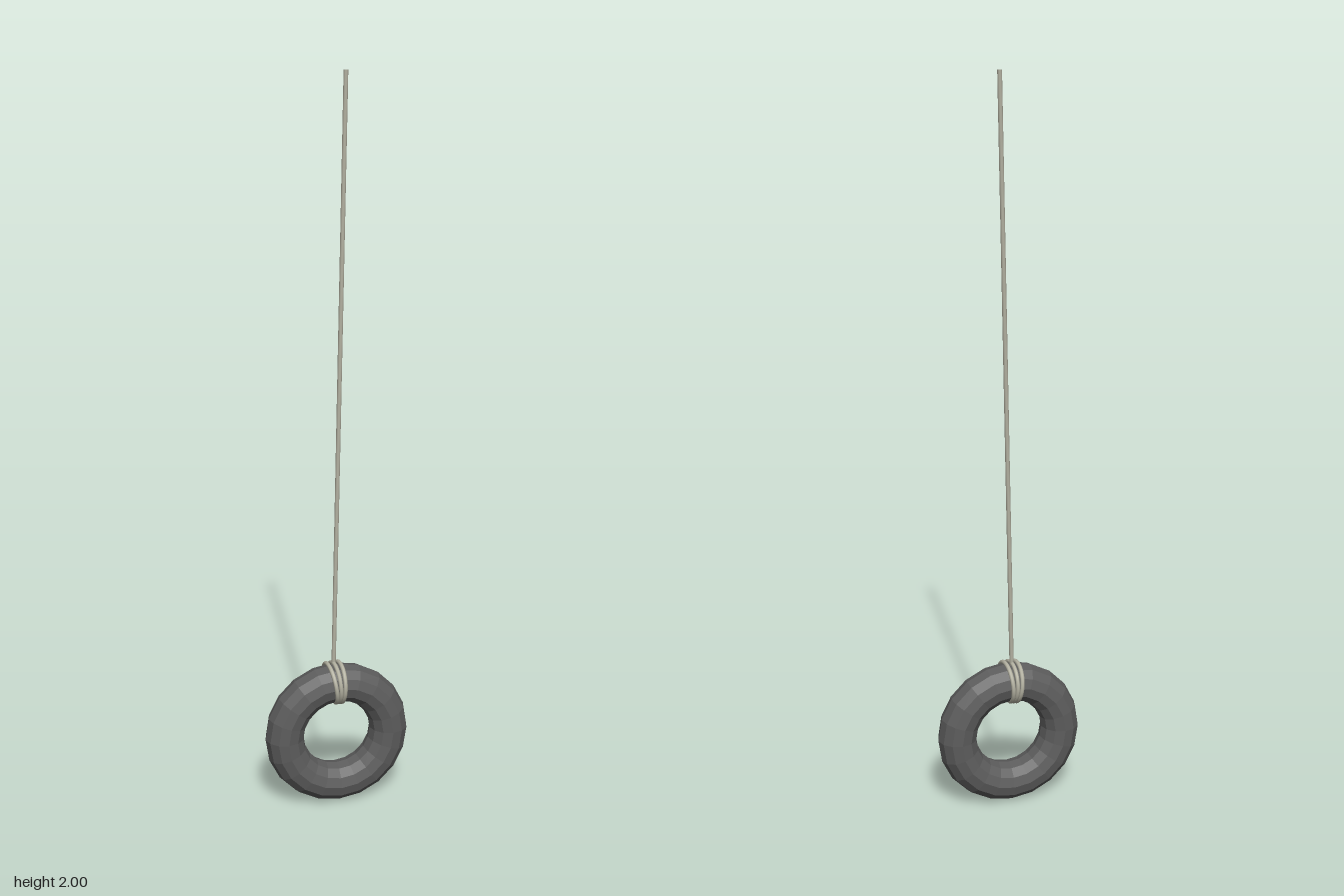
import * as THREE from 'three';

const TIRE_R = 0.15, TUBE_R = 0.054, CENTER_Y = 0.204;
const ROPE_R = 0.006, WRAP_R = 0.056;

export function createModel() {
  const model = new THREE.Group();
  model.name = 'tireSwing';
  const rubber = new THREE.MeshStandardMaterial({ color: 0x5c5c5c, flatShading: true });
  const hemp = new THREE.MeshStandardMaterial({ color: 0xb4b2a2 });

  const add = (parent, geometry, material, name) => {
    const mesh = new THREE.Mesh(geometry, material);
    mesh.name = name;
    parent.add(mesh);
    return mesh;
  };

  // Tire and its wrapping share one frame, turned about the vertical
  const swing = new THREE.Group();
  swing.name = 'swing';
  swing.position.y = CENTER_Y;
  swing.rotation.y = -THREE.MathUtils.degToRad(22);
  model.add(swing);

  // Low-poly tire, with a vertex at the very bottom
  const tire = new THREE.TorusGeometry(TIRE_R, TUBE_R, 12, 20);
  add(swing, tire, rubber, 'tire');

  // Rope wound three times around the tire's upper part
  const turns = 3, steps = 48, points = [];
  for (let i = 0; i <= steps; i++) {
    const t = i / steps;
    const around = Math.PI * (1 + 2 * turns * t);
    const along = (-0.033 + 0.051 * t) / (TIRE_R + WRAP_R);
    const r = TIRE_R + WRAP_R * Math.cos(around);
    points.push(new THREE.Vector3(r * Math.sin(along), r * Math.cos(along), WRAP_R * Math.sin(around)));
  }
  const winding = new THREE.CatmullRomCurve3(points);
  add(swing, new THREE.TubeGeometry(winding, 96, ROPE_R, 8), hemp, 'ropeWrap');

  // Long, slightly leaning rope
  const from = new THREE.Vector3(-0.005, 0.405, -0.007);
  const to = new THREE.Vector3(0.035, 2, -0.007);
  const dir = to.clone().sub(from);
  const rope = add(model, new THREE.CylinderGeometry(ROPE_R, ROPE_R, dir.length(), 8), hemp, 'rope');
  rope.position.copy(from).add(to).multiplyScalar(0.5);
  rope.quaternion.setFromUnitVectors(new THREE.Vector3(0, 1, 0), dir.normalize());

  return model;
}
